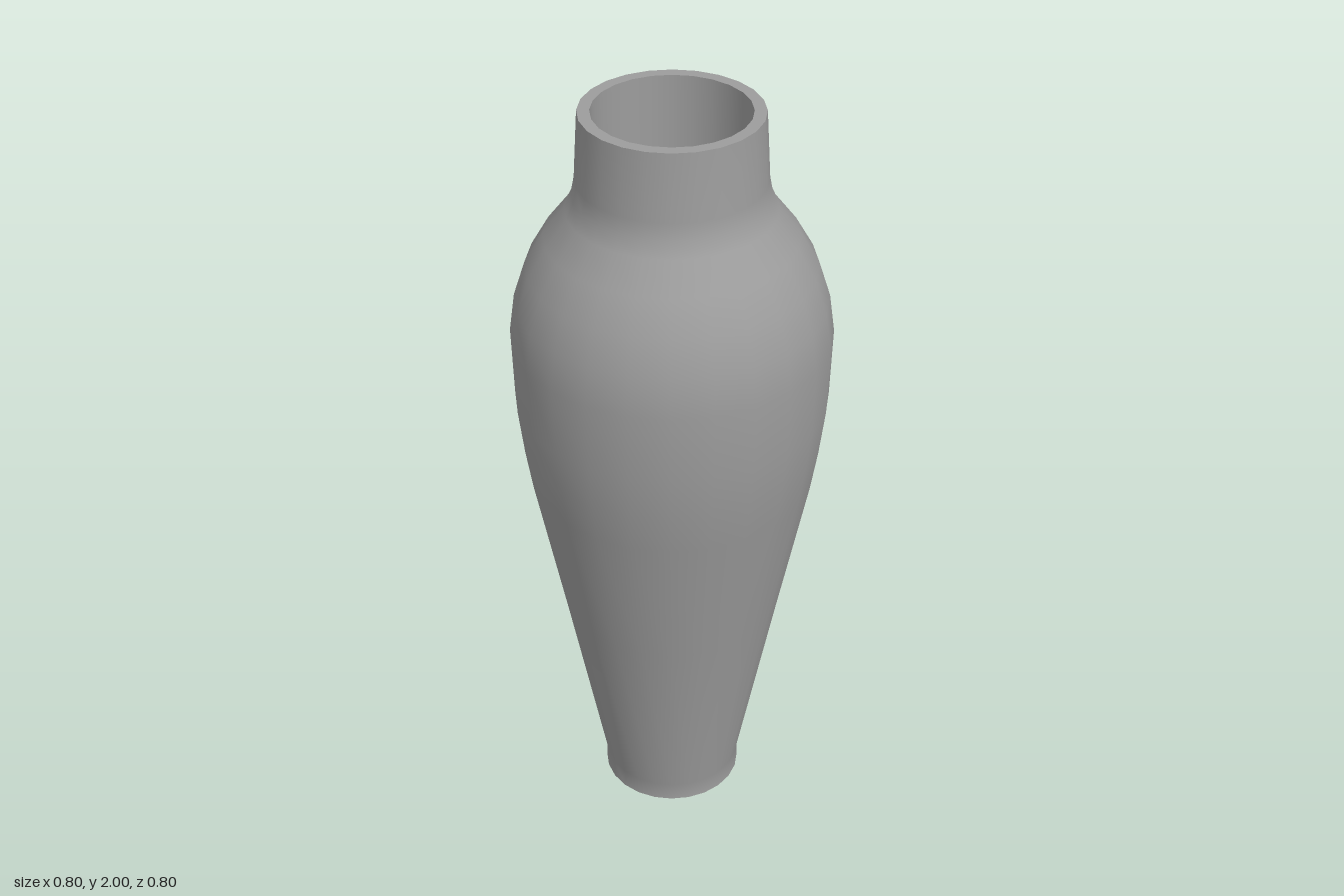
import * as THREE from 'three';

const SIDES = 24;

export function createModel() {
  const group = new THREE.Group();
  group.name = 'vase';
  const material = new THREE.MeshStandardMaterial({ color: 0x9c9c9c });

  // Each section is its own lathe, so the edges between sections stay sharp.
  function turn(name, profile) {
    const points = profile.map(([r, y]) => new THREE.Vector2(r, y));
    const mesh = new THREE.Mesh(new THREE.LatheGeometry(points, SIDES), material);
    mesh.name = name;
    group.add(mesh);
  }

  // Underside of the foot
  turn('base', [[0, 0], [0.184, 0]]);

  // Foot, tapering belly, shoulder and neck
  turn('body', [
    [0.184, 0], [0.182, 0.05],
    [0.285, 0.6], [0.362, 1.0], [0.379, 1.11],
    [0.393, 1.23], [0.398, 1.41], [0.384, 1.51],
    [0.355, 1.6], [0.309, 1.68], [0.255, 1.75],
    [0.238, 1.79], [0.23, 1.83], [0.22, 2],
  ]);

  // Flat lip
  turn('rim', [[0.22, 2], [0.19, 2]]);

  // Mouth wall and floor
  turn('innerWall', [[0.19, 2], [0.19, 1.6]]);
  turn('innerFloor', [[0.19, 1.6], [0, 1.6]]);

  return group;
}
